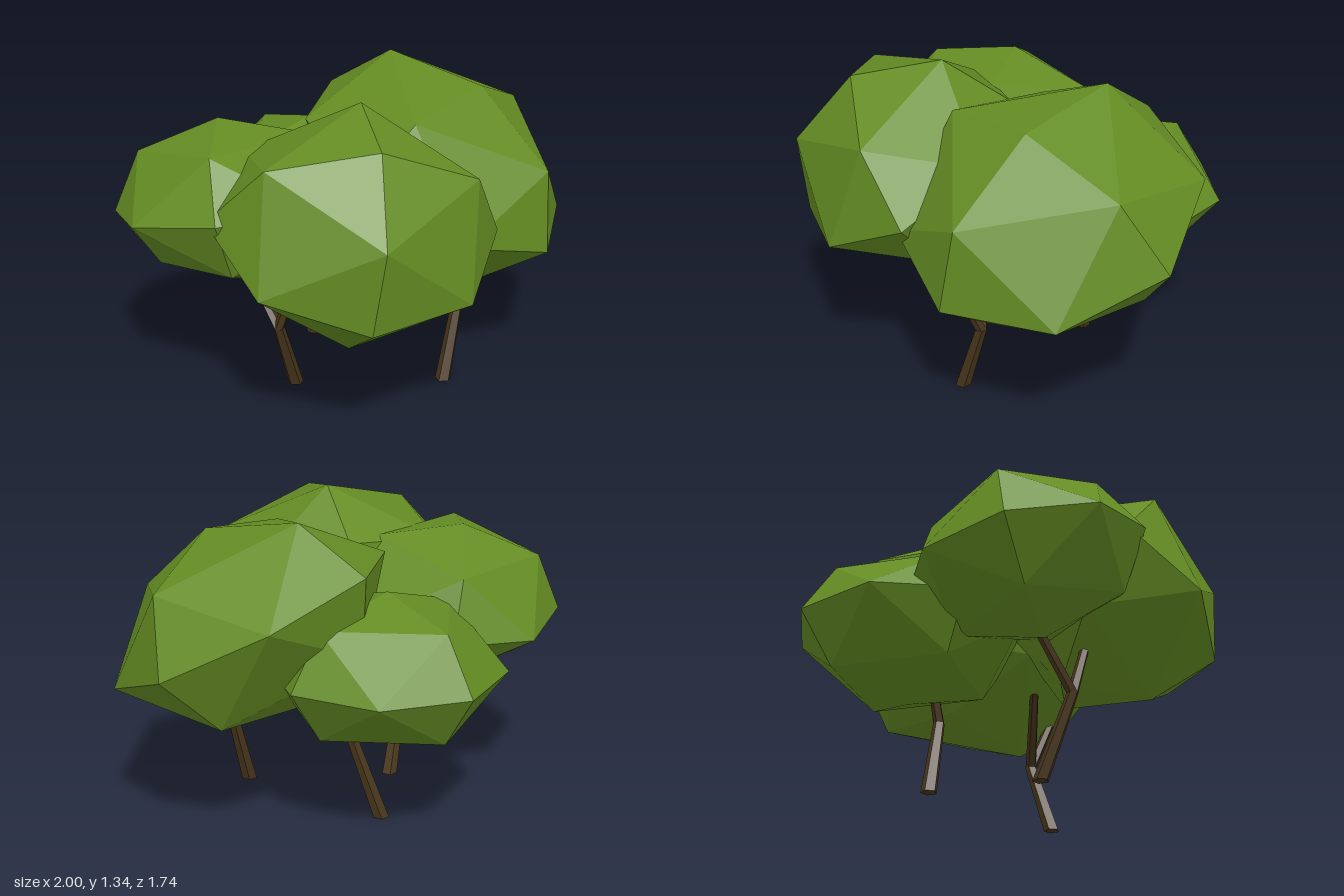
import * as THREE from 'three';

const leafMaterial = new THREE.MeshStandardMaterial({ color: 0x648c23, flatShading: true });
const barkMaterial = new THREE.MeshStandardMaterial({ color: 0x4a371c, flatShading: true });
const vec = (p) => new THREE.Vector3(...p);

// Faceted crown: a subdivided octahedron stretched along three half-axes
function crown(name, center, up, side, depth) {
  const [a, b, c] = [side, up, depth].map(vec);
  const basis = new THREE.Matrix4().makeBasis(a, b, c);
  // Keep the basis right-handed so that faces point outwards
  if (basis.determinant() < 0) basis.makeBasis(a.negate(), b, c);
  const geometry = new THREE.OctahedronGeometry(1, 1).applyMatrix4(basis.setPosition(vec(center)));
  const mesh = new THREE.Mesh(geometry, leafMaterial);
  mesh.name = name;
  return mesh;
}

// Slanted five-sided limb with level ends
function limb(name, from, to, bottomRadius, topRadius) {
  const start = vec(from), end = vec(to);
  const shear = new THREE.Matrix4()
    .makeBasis(new THREE.Vector3(1, 0, 0), end.clone().sub(start), new THREE.Vector3(0, 0, 1))
    .setPosition(start.add(end).multiplyScalar(0.5));
  const geometry = new THREE.CylinderGeometry(topRadius, bottomRadius, 1, 5).applyMatrix4(shear);
  const mesh = new THREE.Mesh(geometry, barkMaterial);
  mesh.name = name;
  return mesh;
}

// Trunk from the ground to a bend, with branches on into the crowns
function trunk(name, base, bend, tips) {
  const group = new THREE.Group();
  group.name = name;
  group.add(limb('lowerTrunk', base, bend, 0.035, 0.026));
  tips.forEach((tip) => group.add(limb('branch', bend, tip, 0.025, 0.02)));
  return group;
}

export function createModel() {
  const model = new THREE.Group();
  model.name = 'treeCluster';

  // Crowns: centre, then the short upright half-axis and the two wide ones
  model.add(
    crown('frontCrown', [-0.29, 0.878, 0.415], [-0.05, 0.39, 0.225], [0.53, -0.07, 0.26], [-0.22, -0.258, 0.389]),
    crown('leftCrown', [0.405, 0.876, 0.105], [0.105, 0.379, 0.157], [0.59, -0.09, -0.205], [0.152, -0.269, 0.555]),
    crown('rightCrown', [-0.505, 0.869, -0.13], [-0.005, 0.333, -0.085], [-0.38, -0.063, -0.32], [-0.323, 0.087, 0.371]),
    crown('backCrown', [0.07, 0.715, -0.37], [0, 0.325, 0], [0.5, 0, 0], [0, 0, 0.5])
  );

  // Trunks: base, bend, branch tips
  model.add(
    trunk('rightTrunk', [-0.32, 0, 0.035], [-0.455, 0.345, 0.11], [[-0.43, 0.6, 0.2], [-0.49, 0.62, -0.1]]),
    trunk('backTrunk', [0.02, 0, -0.29], [0.108, 0.35, -0.205], [[0.06, 0.55, -0.27]]),
    trunk('frontTrunk', [0.21, 0, 0.41], [0.315, 0.32, 0.37], [[0.11, 0.58, 0.27], [0.32, 0.56, 0.48]])
  );
  return model;
}
